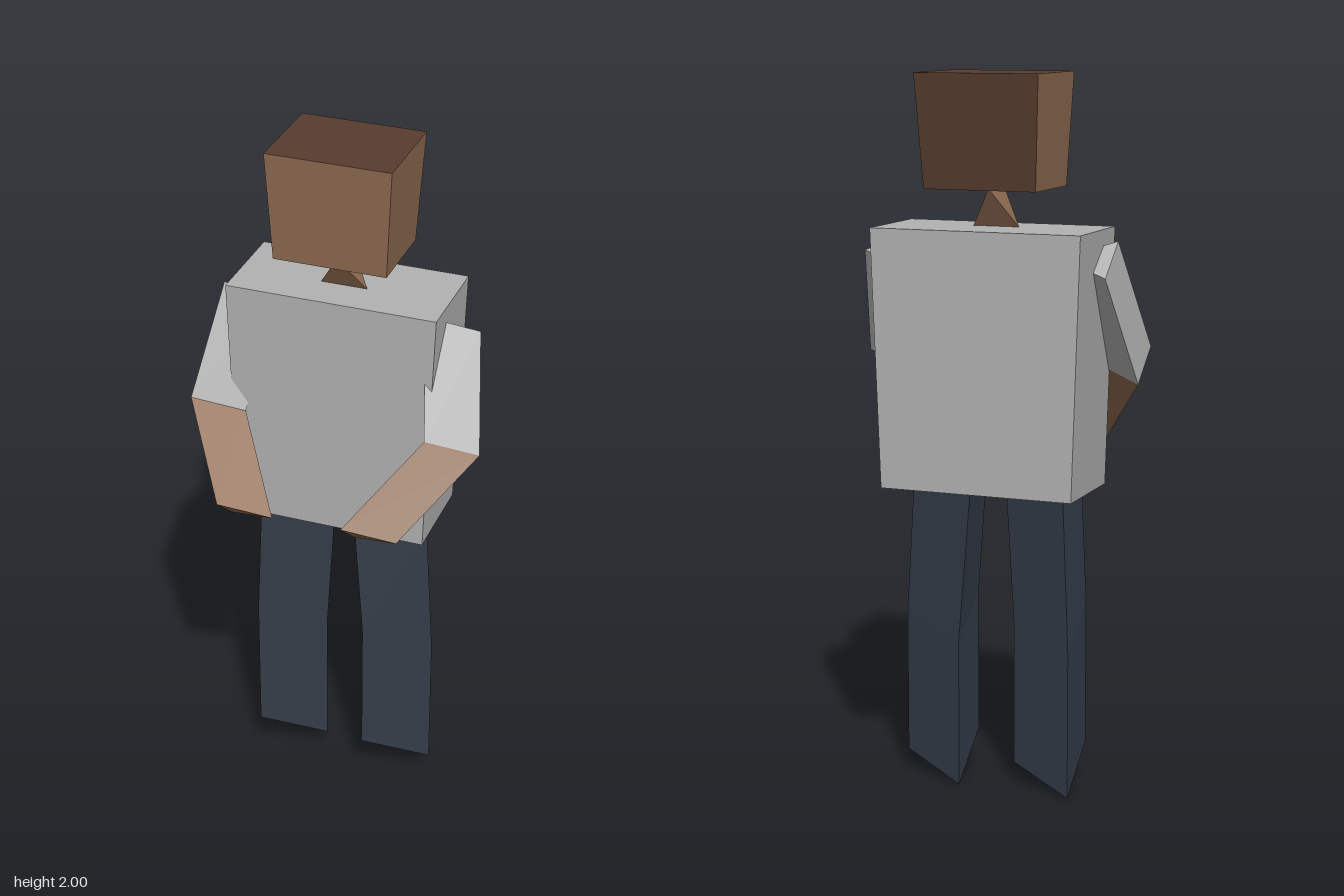
import * as THREE from 'three';

const material = (name, color) => {
  const m = new THREE.MeshStandardMaterial({ color });
  m.name = name;
  return m;
};

// Joins cross-sections listed bottom to top, each counter-clockwise seen from above.
// Faces whose index is in `accents` take the second material: sides 0..n-1, top n, bottom n+1.
function loft(name, rings, materials, accents = []) {
  const n = rings[0].length;
  const last = rings.length - 1;
  const positions = [];
  const geometry = new THREE.BufferGeometry();
  const addFace = (index, ...corners) => {
    const start = positions.length / 3;
    for (let i = 1; i < corners.length - 1; i++) {
      positions.push(...corners[0], ...corners[i], ...corners[i + 1]);
    }
    geometry.addGroup(start, (corners.length - 2) * 3, accents.includes(index) ? 1 : 0);
  };
  for (let r = 0; r < last; r++) {
    for (let i = 0; i < n; i++) {
      const j = (i + 1) % n;
      addFace(i, rings[r][i], rings[r][j], rings[r + 1][j], rings[r + 1][i]);
    }
  }
  addFace(n, ...rings[last]);
  addFace(n + 1, ...[...rings[0]].reverse());
  geometry.setAttribute('position', new THREE.Float32BufferAttribute(positions, 3));
  geometry.computeVertexNormals();
  const mesh = new THREE.Mesh(geometry, materials);
  mesh.name = name;
  return mesh;
}

// Horizontal rectangle: front left corner first, counter-clockwise from above
const rect = (y, x0, x1, z0, z1) => [[x0, y, z1], [x1, y, z1], [x1, y, z0], [x0, y, z0]];

// Tilted triangle: front edge, +x edge, back edge; centred on y and z
const tri = (x, y, z, w, h, d) => [[x, y + h, z + d], [x + w, y, z], [x, y - h, z - d]];

export function createModel() {
  const skin = material('skin', 0x8f6b50);
  const hair = material('hair', 0x573c2d);
  const shirt = material('shirt', 0xb2b2b2);
  const trousers = material('trousers', 0x343c48);

  const model = new THREE.Group();
  model.name = 'figure';

  // Head with hair on the top and back
  model.add(loft('head', [
    rect(1.692, -0.185, 0.135, -0.238, 0.0),
    rect(2.0, -0.2, 0.152, -0.262, 0.016),
  ], [skin, hair], [2, 4]));

  // Neck: a wedge turning from a sideways edge to a lengthwise edge
  model.add(loft('neck', [
    rect(1.585, -0.092, 0.042, -0.114, -0.114),
    rect(1.692, -0.025, -0.025, -0.172, -0.056),
  ], [skin]));

  // Torso
  model.add(loft('torso', [
    rect(0.875, -0.302, 0.25, -0.278, 0),
    rect(1.587, -0.325, 0.275, -0.28, 0),
  ], [shirt]));

  // Three-sided arms and legs; both sides share the same cross-section
  const limbs = [
    { side: 'left', shoulder: 0.22, elbow: 0.27, hand: 0.108, hip: 0.042, knee: 0.075 },
    { side: 'right', shoulder: -0.36, elbow: -0.41, hand: -0.25, hip: -0.232, knee: -0.25 },
  ];
  for (const { side, shoulder, elbow, hand, hip, knee } of limbs) {
    const elbowRing = tri(elbow, 1.21, 0.01, 0.14, 0.045, 0.055);
    model.add(loft(side + 'Sleeve', [
      elbowRing,
      tri(shoulder, 1.51, -0.128, 0.14, 0.045, 0.053),
    ], [shirt]));
    model.add(loft(side + 'Forearm', [
      tri(hand, 1.02, 0.222, 0.14, 0.045, 0.053),
      elbowRing,
    ], [skin]));
    model.add(loft(side + 'Leg', [
      tri(knee, 0.065, -0.075, 0.188, 0.06, 0.075),
      tri(knee, 0.475, -0.075, 0.188, 0.055, 0.075),
      tri(hip, 0.9, -0.075, 0.196, 0.06, 0.071),
    ], [trousers]));
  }

  return model;
}
